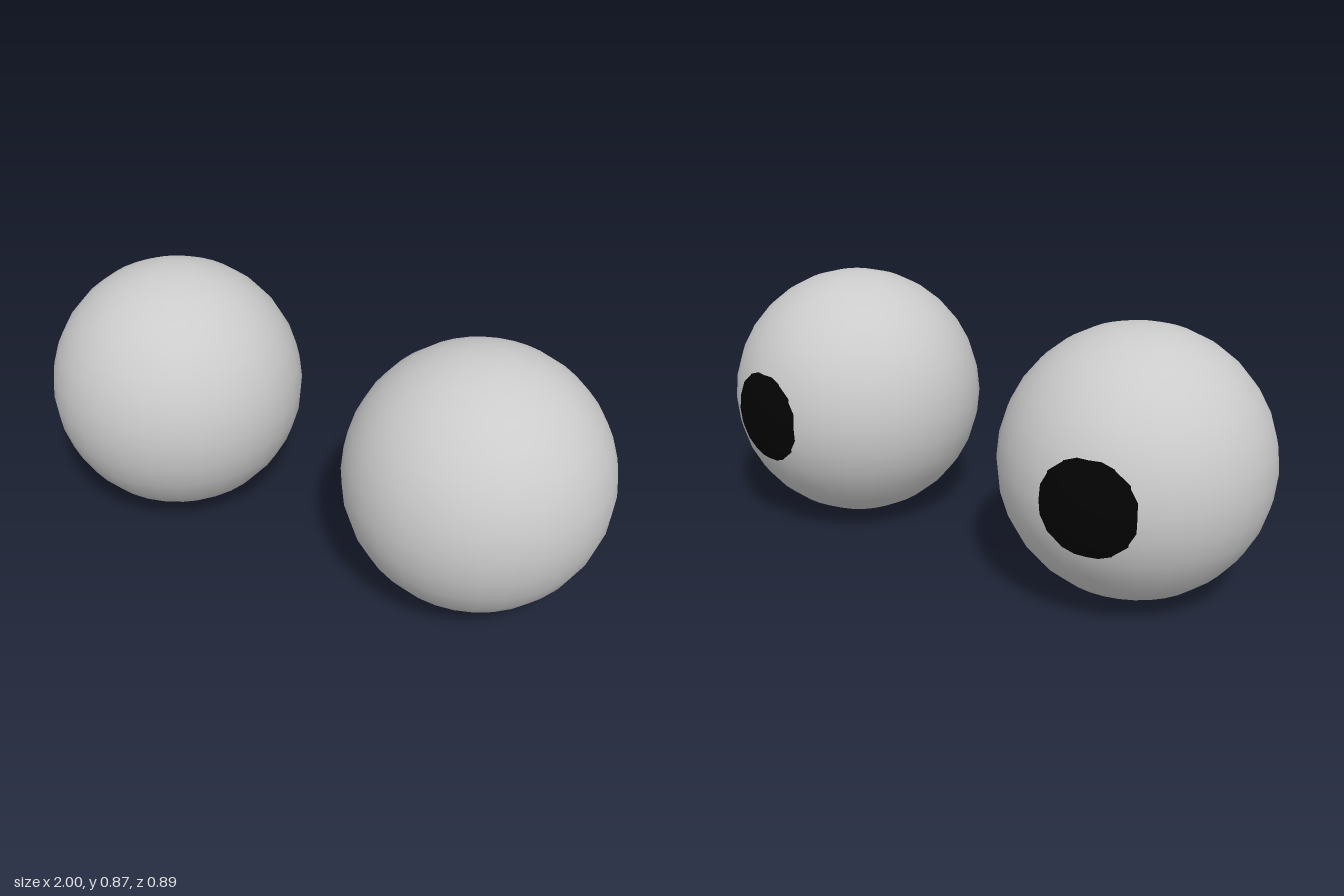
import * as THREE from 'three';

const EYE_RADIUS = 0.433;
const PUPIL_RADIUS = 0.243;
const PUPIL_OFFSET = 0.215; // distance of the pupil centre from the eye centre
const YAW = 0.162; // outward turn of each eye

export function createModel() {
  const model = new THREE.Group();
  model.name = 'eyes';
  const white = new THREE.MeshStandardMaterial({ color: 0xcccccc });
  const black = new THREE.MeshStandardMaterial({ color: 0x030303 });

  // A smooth ball with a smaller ball bulging through its back as the pupil
  for (const [side, name] of [[1, 'left'], [-1, 'right']]) {
    const eye = new THREE.Group();
    eye.name = name + 'Eye';

    const ball = new THREE.Mesh(new THREE.SphereGeometry(EYE_RADIUS, 32, 16), white);
    ball.name = name + 'Eyeball';

    const pupil = new THREE.Mesh(new THREE.SphereGeometry(PUPIL_RADIUS, 32, 16), black);
    pupil.name = name + 'Pupil';
    pupil.position.z = -PUPIL_OFFSET;

    eye.add(ball, pupil);
    eye.position.set(side * 0.566, 0.435, 0.011);
    eye.rotation.y = -side * YAW;
    model.add(eye);
  }
  return model;
}
